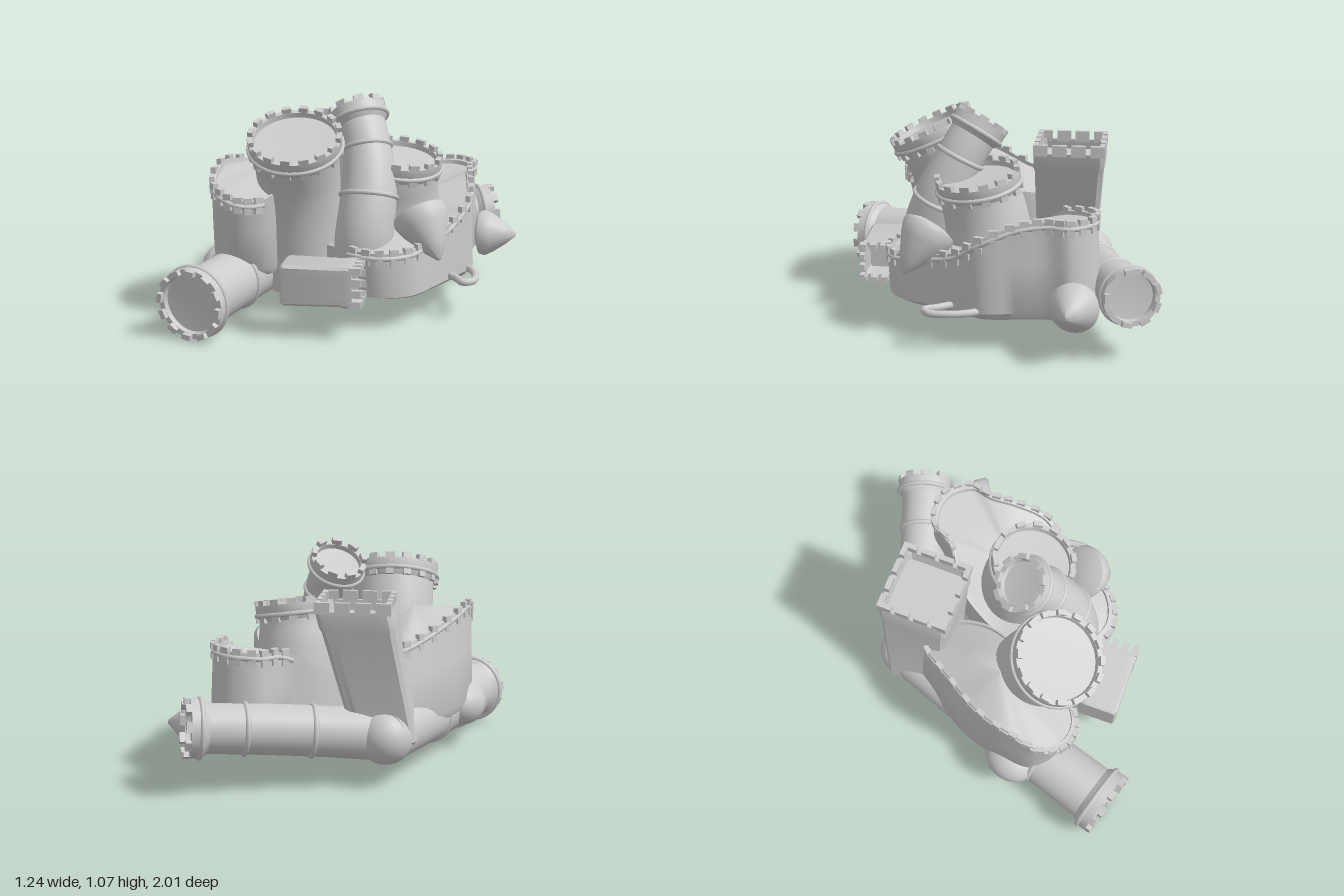
import * as THREE from 'three';
import { mergeGeometries, toCreasedNormals } from 'three/addons/utils/BufferGeometryUtils.js';

const V = (x, y, z) => new THREE.Vector3(x, y, z);
const UP = V(0, 1, 0);
const material = new THREE.MeshStandardMaterial({ color: 0xcccccc, side: THREE.DoubleSide });

function add(parent, name, geometry) {
  const mesh = new THREE.Mesh(geometry, material);
  mesh.name = name;
  parent.add(mesh);
  return mesh;
}

// Skin closed rings of equal length; rings run counterclockwise around the way up.
function loft(rings, crease = 0.7) {
  const n = rings[0].length, pos = [], idx = [];
  rings.forEach(r => r.forEach(p => pos.push(p.x, p.y, p.z)));
  for (let i = 0; i < rings.length - 1; i++) {
    for (let j = 0; j < n; j++) {
      const a = i * n + j, b = i * n + (j + 1) % n;
      idx.push(a, b, a + n, b, b + n, a + n);
    }
  }
  const g = new THREE.BufferGeometry();
  g.setAttribute('position', new THREE.Float32BufferAttribute(pos, 3));
  g.setIndex(idx);
  return toCreasedNormals(g, crease);
}

// Box placed at p, turned by yaw
function block(w, h, d, p, yaw) {
  return new THREE.BoxGeometry(w, h, d).rotateY(yaw).translate(p.x, p.y, p.z);
}

// Round crown: shallow cup, rim bead, merlons above and corbels below
function crown(parent, p, dir, r, bodyR, count, corbels) {
  const g = new THREE.Group();
  g.name = 'crown';
  g.position.copy(p);
  g.quaternion.setFromUnitVectors(UP, dir.clone().normalize());
  const profile = [[bodyR, -0.085], [r, -0.055], [r, 0], [r - 0.025, 0], [r - 0.028, -0.025], [0, -0.035]];
  const cup = new THREE.LatheGeometry(profile.map(q => new THREE.Vector2(...q)), 40);
  add(g, 'crownCup', toCreasedNormals(cup, 0.6));
  add(g, 'crownBead', new THREE.TorusGeometry(r - 0.002, 0.012, 8, 40).rotateX(Math.PI / 2).translate(0, -0.05, 0));
  const teeth = [], w = Math.PI * r / count;
  for (let i = 0; i < count; i++) {
    const a = i / count * Math.PI * 2;
    const at = (rad, y) => V(Math.sin(a) * rad, y, Math.cos(a) * rad);
    teeth.push(block(w, 0.03, 0.025, at(r - 0.012, 0.01), a));
    if (corbels) teeth.push(block(w * 0.85, 0.03, 0.02, at(r - 0.007, -0.072), a));
  }
  add(g, 'merlons', mergeGeometries(teeth));
  parent.add(g);
}

// Tower swept along a path, with banding rings and a crown on its end
function tower(parent, name, pts, radii, crownR, count, bands = [], corbels = false) {
  const g = new THREE.Group();
  g.name = name;
  const curve = new THREE.CatmullRomCurve3(pts.map(p => V(...p)));
  const S = 32, N = 36, frames = curve.computeFrenetFrames(S, false);
  const radiusAt = t => {
    const f = t * (radii.length - 1), i = Math.min(Math.floor(f), radii.length - 2);
    return THREE.MathUtils.lerp(radii[i], radii[i + 1], f - i);
  };
  const ring = (i, r) => Array.from({ length: N }, (_, j) => {
    const a = j / N * Math.PI * 2;
    return curve.getPointAt(i / S).addScaledVector(frames.normals[i], Math.cos(a) * r)
      .addScaledVector(frames.binormals[i], Math.sin(a) * r);
  });
  const rings = [ring(0, 0)];
  for (let i = 0; i < S; i++) rings.push(ring(i, radiusAt(i / S)));
  add(g, 'towerBody', loft(rings));
  for (const t of bands) {
    const band = add(g, 'band', new THREE.TorusGeometry(radiusAt(t) - 0.002, 0.013, 8, 36));
    band.position.copy(curve.getPointAt(t));
    band.quaternion.setFromUnitVectors(V(0, 0, 1), curve.getTangentAt(t));
  }
  crown(g, curve.getPointAt(1), curve.getTangentAt(1), crownR, radiusAt(1), count, corbels);
  parent.add(g);
}

// Curtain wall from an outline of [x, z, top height], with a rail over part of it
function curtainWall(parent, name, outline, bottomY, shift, center, [u0, u1], count) {
  const g = new THREE.Group();
  g.name = name;
  const curve = new THREE.CatmullRomCurve3(outline.map(([x, z, y]) => V(x, y, z)), true);
  const N = 96, top = Array.from({ length: N }, (_, i) => curve.getPoint(i / N));
  const mid = V(...center);
  const level = (f, k) => top.map(p => {
    const q = V(p.x + shift[0] * (1 - f), 0, p.z + shift[1] * (1 - f));
    q.lerp(V(mid.x, 0, mid.z), 1 - k);
    q.y = THREE.MathUtils.lerp(bottomY, p.y, f);
    return q;
  });
  const inset = (k, drop) => top.map(p => p.clone().lerp(mid, k).setY(THREE.MathUtils.lerp(p.y - drop, mid.y, k)));
  add(g, 'wallBody', loft([level(0, 0), level(0, 0.6), level(0.03, 0.9), level(0.12, 1.01), level(0.6, 1.01),
    level(1, 1), inset(0.06, 0), inset(0.07, 0.02), inset(0.5, 0.02), inset(1, 0)]));
  const rail = Array.from({ length: 40 }, (_, i) => curve.getPoint(u0 + (u1 - u0) * i / 39).add(V(0, -0.025, 0)));
  add(g, 'rail', new THREE.TubeGeometry(new THREE.CatmullRomCurve3(rail), 80, 0.012, 8));
  const teeth = [];
  for (let i = 0; i < count; i++) {
    const u = u0 + (u1 - u0) * (i + 0.5) / count;
    const p = curve.getPoint(u), t = curve.getTangent(u), yaw = Math.atan2(-t.z, t.x);
    teeth.push(block(0.042, 0.03, 0.024, p.clone().add(V(0, 0.004, 0)), yaw));
    teeth.push(block(0.036, 0.03, 0.022, p.clone().add(V(0, -0.045, 0)), yaw));
  }
  add(g, 'merlons', mergeGeometries(teeth));
  parent.add(g);
}

// Square tower in local space, base at 0, leaning by [dx, dz], with a hollow top
function squareTower(parent, name, h, w0, w1, lean, depth, tooth) {
  const g = new THREE.Group();
  g.name = name;
  const ring = (y, w) => Array.from({ length: 48 }, (_, j) => {
    const a = (j + 0.5) / 48 * Math.PI * 2, c = Math.cos(a), s = Math.sin(a);
    const k = w / 2 / Math.pow(c ** 16 + s ** 16, 1 / 16);
    return V(c * k + lean[0] * y / h, y, -s * k + lean[1] * y / h);
  });
  add(g, 'squareBody', loft([ring(0, 0), ring(0, w0 * 0.9), ring(0.015, w0), ring(h * 0.84, w1 * 0.96),
    ring(h * 0.88, w1), ring(h, w1), ring(h, w1 - 0.05), ring(h - depth, w1 - 0.055), ring(h - depth, 0)]));
  const teeth = [], e = w1 / 2 - 0.0125;
  for (let side = 0; side < 4; side++) {
    for (let i = 0; i < 4; i++) {
      const p = V((i / 3 - 0.5) * (w1 - tooth), h + 0.015, e).applyAxisAngle(UP, side * Math.PI / 2);
      teeth.push(block(tooth, 0.055, 0.025, p.add(V(lean[0], 0, lean[1])), side * Math.PI / 2));
    }
  }
  add(g, 'merlons', mergeGeometries(teeth));
  parent.add(g);
  return g;
}

// Cone roof with a softly rounded base
function coneRoof(parent, name, base, apex, r) {
  const dir = V(...apex).sub(V(...base)), h = dir.length();
  const profile = [[0, -0.035], [r * 0.6, -0.03], [r * 0.95, -0.012], [r, 0.015], [r * 0.84, h * 0.3], [r * 0.45, h * 0.7], [0.012, h * 0.98], [0, h]];
  const m = add(parent, name, toCreasedNormals(new THREE.LatheGeometry(profile.map(q => new THREE.Vector2(...q)), 32), 0.8));
  m.position.set(...base);
  m.quaternion.setFromUnitVectors(UP, dir.normalize());
}

// Rounded lump, used where a part is mostly buried
function lump(parent, name, p, size) {
  const m = add(parent, name, new THREE.SphereGeometry(1, 28, 18));
  m.position.set(...p);
  m.scale.set(...size);
}

export function createModel() {
  const model = new THREE.Group();
  model.name = 'castleHeap';

  // Upright and lying round towers
  tower(model, 'largeTower', [[-0.21, 0.13, 0.25], [-0.2, 0.4, 0.28], [-0.17, 0.65, 0.335], [-0.12, 0.89, 0.435]],
    [0.19, 0.2, 0.2, 0.205], 0.224, 16, [], true);
  tower(model, 'bentTower', [[0.14, 0.2, 0.28], [0.16, 0.45, 0.26], [0.145, 0.63, 0.2], [0.085, 0.82, 0.13], [-0.005, 0.975, 0.07]],
    [0.13, 0.14, 0.135, 0.118, 0.115], 0.138, 9, [0.48, 0.76]);
  tower(model, 'innerTower', [[0.15, 0.3, -0.09], [0.152, 0.55, -0.05], [0.165, 0.65, -0.03], [0.185, 0.76, -0.02]],
    [0.22, 0.205, 0.19], 0.207, 14, [], true);
  tower(model, 'frontLyingTower', [[-0.465, 0.235, -0.34], [-0.41, 0.205, 0.3], [-0.335, 0.176, 0.975]],
    [0.13, 0.138, 0.145], 0.168, 12, [0.43, 0.71]);
  tower(model, 'backLyingTower', [[-0.5, 0.22, -0.22], [-0.4, 0.235, -0.3], [-0.08, 0.275, -0.57], [0.24, 0.31, -0.87]],
    [0.125, 0.12, 0.118, 0.115], 0.137, 9, [0.42, 0.74]);
  lump(model, 'elbow', [-0.47, 0.23, -0.3], [0.13, 0.13, 0.13]);

  // Curtain walls
  curtainWall(model, 'mainWall', [[0.16, 0.41, 0.38], [0.32, 0.41, 0.38], [0.43, 0.3, 0.385], [0.45, 0.13, 0.41],
    [0.46, -0.05, 0.45], [0.475, -0.2, 0.54], [0.4, -0.35, 0.61], [0.33, -0.47, 0.63], [0.3, -0.58, 0.63],
    [0.17, -0.64, 0.63], [0.04, -0.58, 0.62], [0.01, -0.42, 0.6], [-0.1, -0.25, 0.5], [-0.12, 0, 0.4], [-0.1, 0.25, 0.35]],
    0.135, [0.005, -0.02], [0.17, 0.53, -0.15], [0, 0.75], 26);
  curtainWall(model, 'sideWall', [[-0.45, -0.14, 0.62], [-0.5, 0.07, 0.66], [-0.535, 0.3, 0.72], [-0.51, 0.5, 0.74],
    [-0.46, 0.64, 0.68], [-0.36, 0.7, 0.64], [-0.26, 0.68, 0.61], [-0.19, 0.6, 0.61], [-0.17, 0.4, 0.66],
    [-0.17, 0, 0.6], [-0.3, -0.16, 0.58]],
    0.2, [-0.05, -0.08], [-0.33, 0.75, 0.25], [0, 0.64], 15);

  // Square towers
  squareTower(model, 'squareTower', 0.63, 0.29, 0.35, [0.15, -0.02], 0.05, 0.07).position.set(-0.43, 0.2, -0.2);
  model.children.at(-1).rotation.y = 0.4;
  const fallen = squareTower(model, 'fallenSquareTower', 0.335, 0.195, 0.195, [0, 0], 0.12, 0.035);
  fallen.position.set(-0.045, 0.257, 0.645);
  fallen.rotation.set(0, 0.42, -Math.PI / 2);

  // Loose cone roofs
  coneRoof(model, 'sideCone', [0.385, 0.515, 0.13], [0.53, 0.33, 0.19], 0.135);
  coneRoof(model, 'backCone', [0.335, 0.25, -0.625], [0.505, 0.255, -0.67], 0.12);
  lump(model, 'buriedCone', [-0.5, 0.22, 0.48], [0.115, 0.112, 0.14]);

  // Handle loop on the main wall
  const loop = [[0.38, 0.19, -0.22], [0.5, 0.19, -0.175], [0.58, 0.19, -0.08], [0.605, 0.19, 0], [0.575, 0.19, 0.04], [0.52, 0.19, 0], [0.42, 0.19, -0.06]];
  add(model, 'handleLoop', new THREE.TubeGeometry(new THREE.CatmullRomCurve3(loop.map(p => V(...p))), 48, 0.018, 10));

  return model;
}
